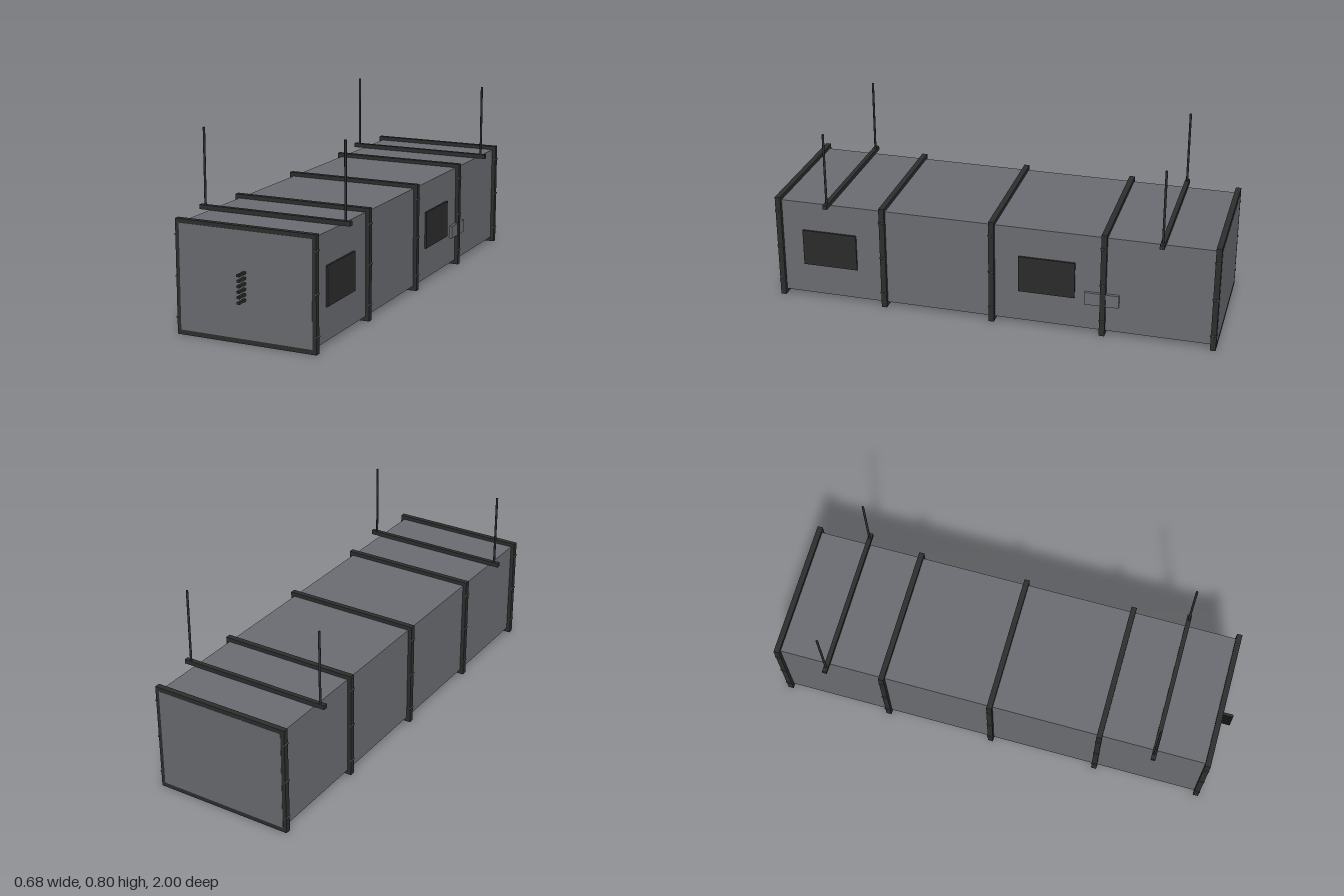
import * as THREE from 'three';

const mat = (name, color) => {
  const m = new THREE.MeshStandardMaterial({ color });
  m.name = name;
  return m;
};

export function createModel() {
  const sheet = mat('duct grey', 0x6b6d72);
  const dark = mat('frame black', 0x2d2f2f);
  const hatch = mat('hatch black', 0x2c2c2d);
  const steel = mat('bolt steel', 0x4a4c4f);

  const model = new THREE.Group();
  model.name = 'hangingDuct';
  const add = (parent, name, geo, material, x, y, z) => {
    const mesh = new THREE.Mesh(geo, material);
    mesh.name = name;
    mesh.position.set(x, y, z);
    parent.add(mesh);
    return mesh;
  };
  const box = (parent, name, material, x0, x1, y0, y1, z0, z1) =>
    add(parent, name, new THREE.BoxGeometry(x1 - x0, y1 - y0, z1 - z0), material,
      (x0 + x1) / 2, (y0 + y1) / 2, (z0 + z1) / 2);

  // Main duct, its ends just proud of the end flanges
  box(model, 'duct', sheet, -0.293, 0.293, 0.02, 0.458, -0.999, 0.947);

  // Flange frames around the duct joints, with bolts along both sides
  const outline = new THREE.Shape([[-0.31, 0], [0.31, 0], [0.31, 0.475], [-0.31, 0.475]]
    .map(p => new THREE.Vector2(...p)));
  outline.holes.push(new THREE.Path([[-0.292, 0.021], [-0.292, 0.457], [0.292, 0.457], [0.292, 0.021]]
    .map(p => new THREE.Vector2(...p))));
  const frameGeo = new THREE.ExtrudeGeometry(outline, { depth: 0.024, bevelEnabled: false });
  frameGeo.translate(0, 0, -0.012);
  const boltGeo = new THREE.CylinderGeometry(0.004, 0.004, 0.028, 8);
  boltGeo.rotateX(Math.PI / 2);
  for (const z of [-0.986, -0.512, -0.027, 0.46, 0.934]) {
    const flange = new THREE.Group();
    flange.name = 'flange';
    flange.position.z = z;
    model.add(flange);
    add(flange, 'flangeFrame', frameGeo, dark, 0, 0, 0);
    for (const side of [-1, 1])
      for (const y of [0.07, 0.24, 0.41]) add(flange, 'bolt', boltGeo, steel, side * 0.31, y, 0);
  }

  // Hangers: a cross bar on the roof and two rods going up
  const rodGeo = new THREE.CylinderGeometry(0.005, 0.005, 0.322, 10);
  for (const z of [-0.757, 0.704]) {
    const hanger = new THREE.Group();
    hanger.name = 'hanger';
    model.add(hanger);
    box(hanger, 'crossBar', dark, -0.34, 0.34, 0.458, 0.477, z - 0.01, z + 0.01);
    for (const side of [-1, 1]) add(hanger, 'rod', rodGeo, dark, side * 0.316, 0.636, z);
  }

  // Access hatches and the small plate on the left side
  for (const z of [0.584, -0.389])
    box(model, 'accessHatch', hatch, 0.29, 0.301, 0.16, 0.325, z, z + 0.246);
  box(model, 'sidePlate', sheet, 0.29, 0.306, 0.14, 0.197, -0.581, -0.433);

  // Column of short pegs on the front end
  for (let i = 0; i < 6; i++) {
    const y = 0.181 + i * 0.022;
    box(model, 'frontPeg', dark, -0.006, 0.006, y - 0.005, y + 0.005, 0.94, 1);
  }
  return model;
}
